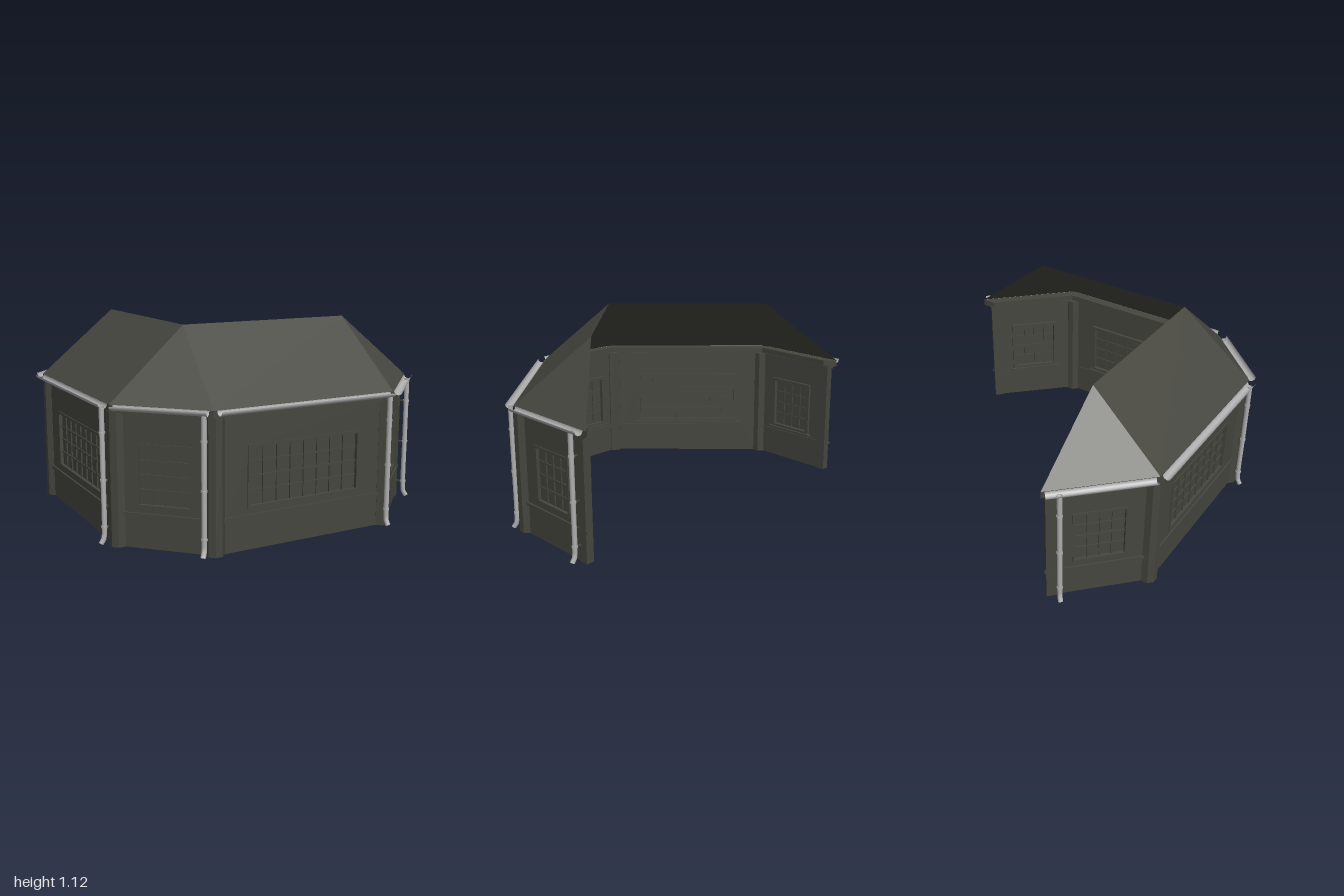
import * as THREE from 'three';

const darkPaint = new THREE.MeshStandardMaterial({ color: 0x46463f });
darkPaint.name = 'dark paint';
const darkRoof = new THREE.MeshStandardMaterial({ color: 0x474740, side: THREE.DoubleSide });
darkRoof.name = 'dark roofing';
const greyMetal = new THREE.MeshStandardMaterial({ color: 0xb0b0b0, side: THREE.DoubleSide });
greyMetal.name = 'grey metal';

// Plan lines as [x, z], running from the back end round to the right end
const WALL = [[-0.5, -0.95], [-0.91, -0.53], [-0.91, 0.53], [-0.53, 0.91], [0.53, 0.91], [0.95, 0.5]];
const EAVE = [[-0.5, -0.985], [-0.935, -0.55], [-0.935, 0.54], [-0.55, 0.93], [0.55, 0.93], [0.995, 0.485]];
const WALL_TOP = 0.72, EAVE_Y = 0.75, RIDGE_Y = 1.125;

function mesh(parent, name, geometry, material, x = 0, y = 0, z = 0) {
  const m = new THREE.Mesh(geometry, material);
  m.name = name;
  m.position.set(x, y, z);
  parent.add(m);
  return m;
}

function box(parent, name, w, h, d, x, y, z) {
  return mesh(parent, name, new THREE.BoxGeometry(w, h, d), darkPaint, x, y, z);
}

// Group on one side of a plan line: local x runs along it, local z points outward
function sideGroup(parent, name, path, i) {
  const [ax, az] = path[i], [bx, bz] = path[i + 1];
  const g = new THREE.Group();
  g.name = name;
  g.position.set((ax + bx) / 2, 0, (az + bz) / 2);
  g.rotation.y = Math.atan2(az - bz, bx - ax);
  parent.add(g);
  return { g, len: Math.hypot(bx - ax, bz - az) };
}

// Plan line moved outward by d with mitred corners and square-cut ends
function offset(path, d) {
  const normals = path.slice(1).map(([x, z], i) => {
    const dx = x - path[i][0], dz = z - path[i][1], l = Math.hypot(dx, dz);
    return [-dz / l, dx / l];
  });
  return path.map(([x, z], i) => {
    if (i === 0) return [x, z - d * Math.SQRT2];
    if (i === path.length - 1) return [x + d * Math.SQRT2, z];
    const [a, b] = [normals[i - 1], normals[i]];
    const k = d / (1 + a[0] * b[0] + a[1] * b[1]);
    return [x + (a[0] + b[0]) * k, z + (a[1] + b[1]) * k];
  });
}

// Continuous moulding between two offsets of a plan line
function moulding(parent, name, path, outer, inner, y, h) {
  const pts = [...offset(path, outer), ...offset(path, inner).reverse()];
  const shape = new THREE.Shape(pts.map(([x, z]) => new THREE.Vector2(x, -z)));
  const geo = new THREE.ExtrudeGeometry(shape, { depth: h, bevelEnabled: false });
  geo.rotateX(-Math.PI / 2);
  mesh(parent, name, geo, darkPaint, 0, y, 0);
}

function frame(parent, name, w, h, t, d, y, z) {
  for (const s of [-1, 1]) {
    box(parent, name, t, h + 2 * t, d, s * (w + t) / 2, y, z);
    box(parent, name, w, t, d, 0, y + s * (h + t) / 2, z);
  }
}

function buildWall(parent, i) {
  const wide = i === 1 || i === 3;
  const { g, len } = sideGroup(parent, wide ? 'wideWall' : 'narrowWall', WALL, i);
  const w = wide ? 0.66 : 0.27, h = 0.305, y = 0.387, cols = wide ? 8 : 4, rows = 4;

  // Wall panel with window opening
  const s = new THREE.Shape();
  s.moveTo(-len / 2, 0).lineTo(len / 2, 0).lineTo(len / 2, WALL_TOP).lineTo(-len / 2, WALL_TOP);
  const hole = new THREE.Path();
  hole.moveTo(-w / 2, y - h / 2).lineTo(-w / 2, y + h / 2).lineTo(w / 2, y + h / 2).lineTo(w / 2, y - h / 2);
  s.holes.push(hole);
  mesh(g, 'wallPanel', new THREE.ExtrudeGeometry(s, { depth: 0.03, bevelEnabled: false }), darkPaint, 0, 0, -0.03);

  // Window pane, glazing bars, frames and inner sill
  box(g, 'windowPane', w, h, 0.008, 0, y, -0.018);
  for (let c = 1; c < cols; c++) box(g, 'verticalBar', 0.009, h, 0.024, -w / 2 + (w * c) / cols, y, -0.018);
  for (let r = 1; r < rows; r++) box(g, 'horizontalBar', w, 0.009, 0.022, 0, y - h / 2 + (h * r) / rows, -0.018);
  frame(g, 'outerFrame', w, h, 0.015, 0.012, y, 0);
  frame(g, 'innerFrame', w, h, 0.022, 0.024, y, -0.035);
  box(g, 'innerSill', w + 0.07, 0.016, 0.035, 0, y - h / 2 - 0.024, -0.042);
}

function buildDrainage(parent, i) {
  const { g, len } = sideGroup(parent, 'drainage', EAVE, i);
  // Half-round gutter, open at the top
  const trough = new THREE.CylinderGeometry(0.024, 0.024, len - 0.04, 12, 1, true, Math.PI, Math.PI);
  trough.rotateZ(Math.PI / 2);
  mesh(g, 'gutter', trough, greyMetal, 0, EAVE_Y, 0.027);

  // Downpipe with a kicked-out foot
  const x = i === 0 ? -len / 2 + 0.09 : len / 2 - (i === 4 ? 0.09 : 0.04);
  const path = new THREE.CatmullRomCurve3([
    [x, 0.735, 0.027], [x, 0.4, 0.027], [x, 0.08, 0.027], [x, 0.04, 0.03], [x, 0.012, 0.047],
  ].map(p => new THREE.Vector3(...p)));
  mesh(g, 'downpipe', new THREE.TubeGeometry(path, 24, 0.014, 10), greyMetal);
  for (const y of [0.1, 0.35, 0.6]) {
    mesh(g, 'pipeClip', new THREE.CylinderGeometry(0.017, 0.017, 0.012, 10), greyMetal, x, y, 0.027);
    box(g, 'pipeBracket', 0.008, 0.008, 0.04, x, y, 0);
  }
}

function buildRoof(parent) {
  const e = EAVE.map(([x, z]) => [x, EAVE_Y, z]);
  const back = [-0.5, RIDGE_Y, -0.51], corner = [-0.5, RIDGE_Y, 0.5], right = [0.51, RIDGE_Y, 0.5];
  const faces = [
    [e[0], e[1], back],
    [e[1], e[2], corner], [e[1], corner, back],
    [e[2], e[3], corner],
    [e[3], e[4], right], [e[3], right, corner],
    [e[4], e[5], right],
  ];
  const geo = new THREE.BufferGeometry();
  geo.setAttribute('position', new THREE.Float32BufferAttribute(faces.flat(2), 3));
  geo.computeVertexNormals();
  mesh(parent, 'roof', geo, darkRoof);
}

export function createModel() {
  const model = new THREE.Group();
  model.name = 'pavilion';

  for (let i = 0; i < 5; i++) {
    buildWall(model, i);
    buildDrainage(model, i);
  }

  // Octagonal posts at the wall corners
  offset(WALL, -0.018).slice(1, -1).forEach(([x, z]) => {
    const post = new THREE.CylinderGeometry(0.05, 0.05, 0.715, 8).toNonIndexed();
    post.rotateY(Math.PI / 8);
    post.computeVertexNormals();
    mesh(model, 'cornerPost', post, darkPaint, x, 0.3575, z);
  });

  // Flat posts closing the two open ends
  for (const [i, s] of [[0, -1], [4, 1]]) {
    const { g, len } = sideGroup(model, 'endPost', WALL, i);
    box(g, 'endPost', 0.06, 0.715, 0.046, s * (len / 2 - 0.03), 0.3575, -0.015);
  }

  // String course, top moulding and eaves board
  moulding(model, 'stringCourse', WALL, 0.01, -0.036, 0.172, 0.018);
  moulding(model, 'topMoulding', WALL, 0.008, -0.036, 0.695, 0.02);
  moulding(model, 'eavesBoard', EAVE, 0, -0.06, 0.71, 0.039);

  buildRoof(model);
  return model;
}
